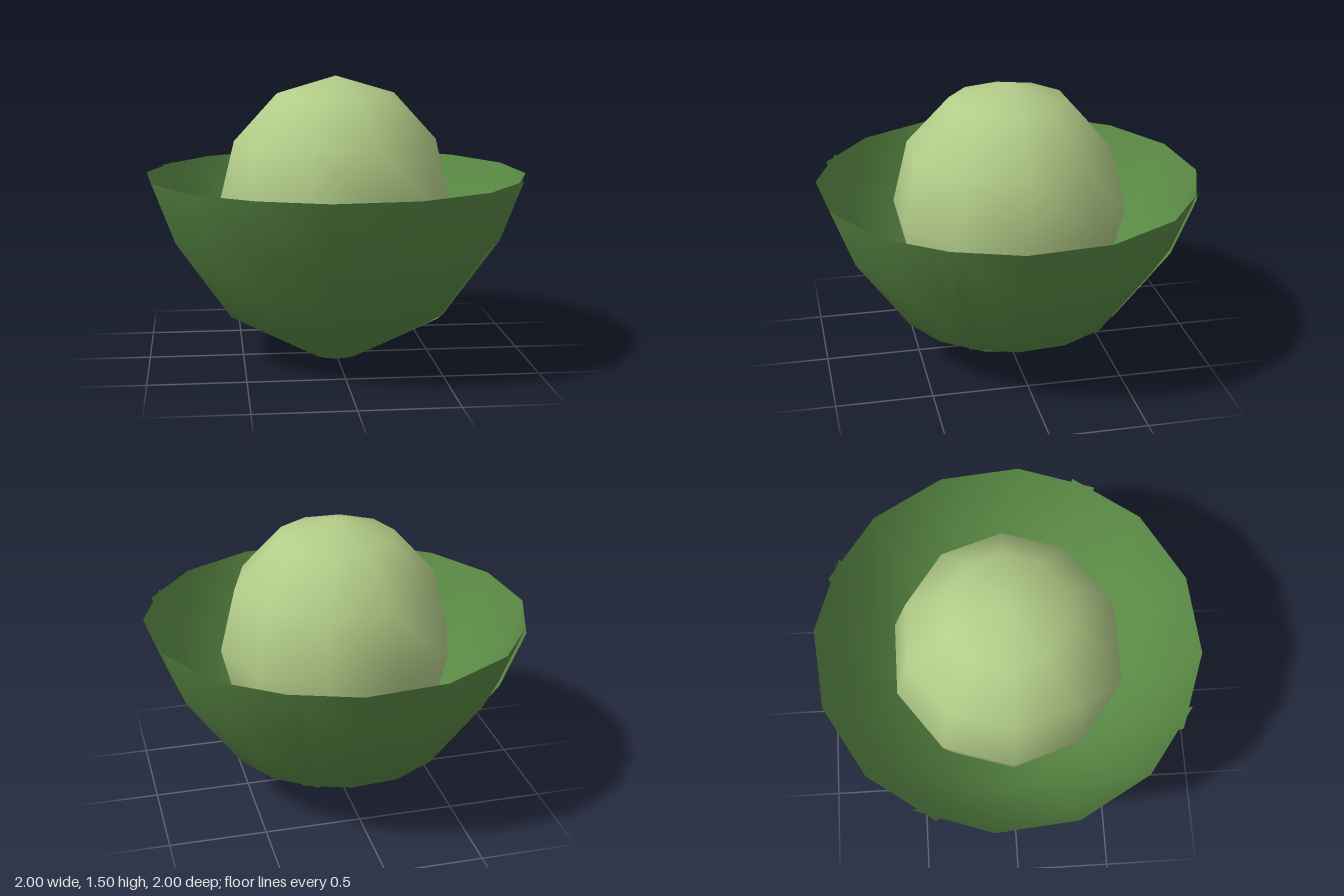
import * as THREE from 'three';

export function createModel() {
  const model = new THREE.Group();

  // Four cupped leaves, each a bit wider than a quarter turn so edges overlap
  const leafMaterial = new THREE.MeshStandardMaterial({ color: 0x5a8a45, side: THREE.DoubleSide });
  const profile = [[0.13, 0], [0.594, 0.255], [0.887, 0.67], [1.0075, 0.985]]
    .map(([r, y]) => new THREE.Vector2(r, y));
  const leafGeometry = new THREE.LatheGeometry(profile, 4, 1.026, 1.7);
  const leaves = new THREE.Group();
  leaves.name = 'leaves';
  for (let i = 0; i < 4; i++) {
    const leaf = new THREE.Mesh(leafGeometry, leafMaterial);
    leaf.name = `leaf${i + 1}`;
    leaf.rotation.y = i * Math.PI / 2;
    leaves.add(leaf);
  }
  model.add(leaves);

  // Slightly tall round heart resting inside the leaves
  const heart = new THREE.Mesh(
    new THREE.SphereGeometry(0.62, 10, 6),
    new THREE.MeshStandardMaterial({ color: 0xb2cc88 })
  );
  heart.name = 'heart';
  heart.scale.y = 0.68 / 0.62;
  heart.position.y = 0.82;
  model.add(heart);

  return model;
}
